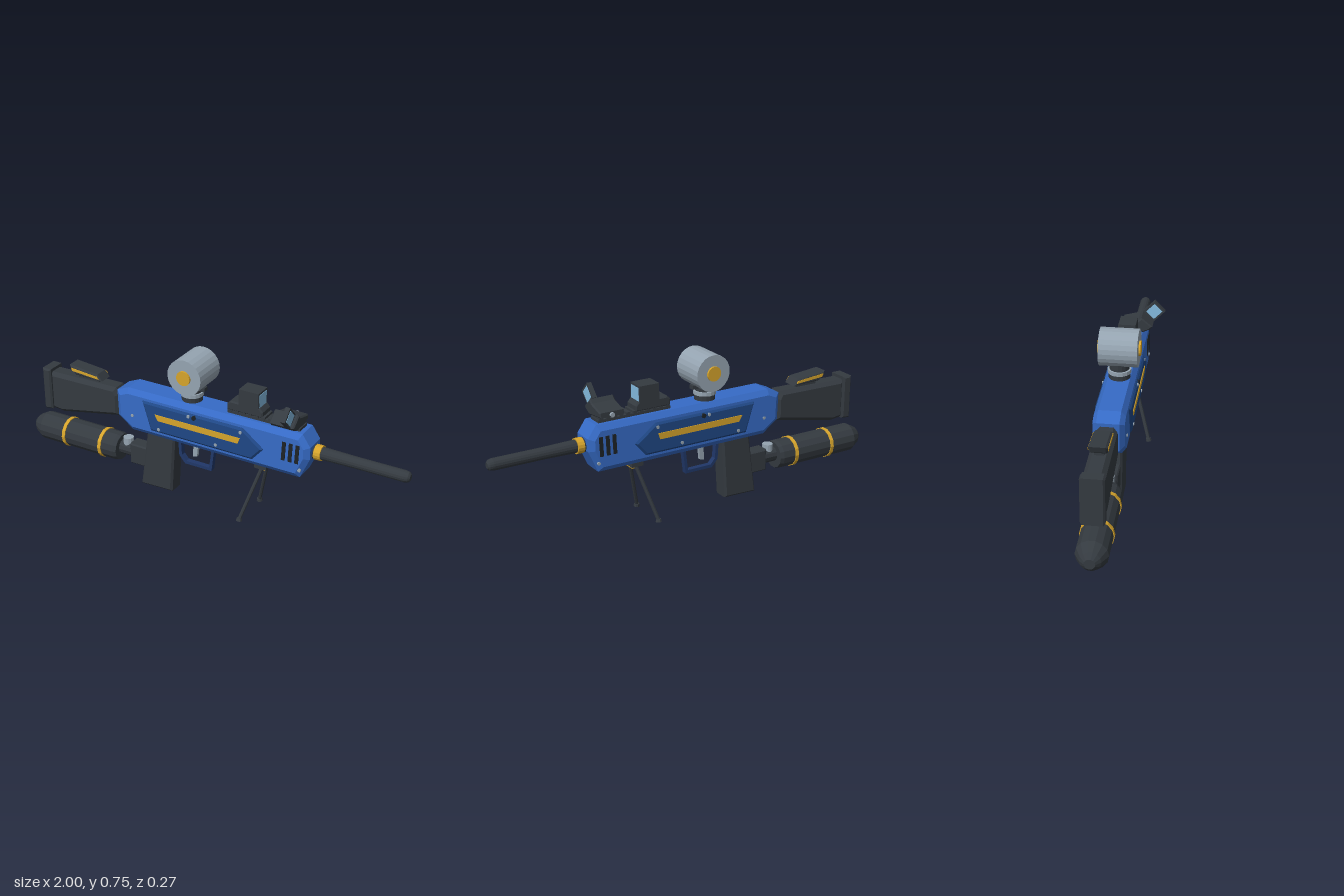
import * as THREE from 'three';

const mat = (name, color, flat = true) => {
  const m = new THREE.MeshStandardMaterial({ color, flatShading: flat });
  m.name = name;
  return m;
};

export function createModel() {
  const blue = mat('body blue', 0x366bc6);
  const panelBlue = mat('panel blue', 0x1f4785);
  const navy = mat('navy', 0x203768);
  const dark = mat('dark grey', 0x343a40);
  const black = mat('black', 0x1d2226);
  const gold = mat('gold', 0xd6a42c);
  const steel = mat('steel', 0x95a4b1);
  const glass = mat('glass', 0x84bbe0);

  const root = new THREE.Group();
  root.name = 'toyBlaster';
  const gun = new THREE.Group();
  gun.name = 'blaster';
  gun.position.z = -0.02;
  root.add(gun);

  const add = (name, geo, m, x = 0, y = 0, z = 0, parent = gun) => {
    const mesh = new THREE.Mesh(geo, m);
    mesh.name = name;
    mesh.position.set(x, y, z);
    parent.add(mesh);
    return mesh;
  };
  const box = (name, m, w, h, d, x, y, z = 0, parent = gun) =>
    add(name, new THREE.BoxGeometry(w, h, d), m, x, y, z, parent);
  const shapeOf = (pts) => new THREE.Shape(pts.map(([x, y]) => new THREE.Vector2(x, y)));
  // Outline pulled to +-half, with a chamfer cut inside the outline
  const slab = (shape, half, size = 0, thick = size) => {
    const geo = new THREE.ExtrudeGeometry(shape, {
      depth: 2 * (half - thick), bevelEnabled: size > 0, bevelSegments: 1,
      bevelSize: size, bevelThickness: thick, bevelOffset: -size,
    });
    return geo.translate(0, 0, -(half - thick));
  };
  const plate = (name, m, pts, half, size, thick) => add(name, slab(shapeOf(pts), half, size, thick), m);
  // Turned part along x, profile given as [x, radius]
  const turned = (name, m, profile, y, sides) => {
    const geo = new THREE.LatheGeometry(profile.map(([x, r]) => new THREE.Vector2(r, x)), sides);
    geo.rotateZ(-Math.PI / 2);
    return add(name, geo, m, 0, y);
  };
  const drum = (name, m, r, len, axis, x, y, z = 0, sides = 16) => {
    const geo = new THREE.CylinderGeometry(r, r, len, sides);
    if (axis === 'x') geo.rotateZ(Math.PI / 2);
    if (axis === 'z') geo.rotateX(Math.PI / 2);
    return add(name, geo, m, x, y, z);
  };

  // Main body
  plate('body', blue, [[-0.46, 0.355], [-0.38, 0.298], [0.505, 0.298], [0.55, 0.4], [0.55, 0.46],
    [0.51, 0.518], [-0.4, 0.518], [-0.465, 0.49]], 0.07, 0.025, 0.02);

  // Side panels, stripes, vents and bolts on both sides
  const panel = [[-0.265, 0.335], [0.275, 0.335], [0.33, 0.4], [0.225, 0.48], [-0.31, 0.48]];
  const stripe = [[-0.22, 0.4], [0.205, 0.4], [0.215, 0.43], [-0.237, 0.43]];
  const bolts = [[-0.37, 0.385, 0.07], [-0.217, 0.355, 0.08], [0.09, 0.36, 0.08],
    [0.217, 0.46, 0.08], [-0.055, 0.467, 0.08], [0.51, 0.345, 0.07]];
  plate('sidePanels', panelBlue, panel, 0.08, 0.01, 0.008);
  plate('sideStripes', gold, stripe, 0.083);
  for (const s of [1, -1]) {
    for (const [x, y, z] of bolts) drum('bolt', steel, 0.008, 0.008, 'z', x, y, s * z, 8);
    drum('screw', black, 0.011, 0.012, 'z', -0.025, 0.467, s * 0.08, 8);
    for (const x of [0.43, 0.463, 0.496]) {
      const v = [[x - 0.011, 0.375], [x + 0.007, 0.375], [x + 0.011, 0.467], [x - 0.007, 0.467]];
      add('vent', slab(shapeOf(v), 0.003), black, 0, 0, s * 0.07);
    }
  }

  // Barrel
  turned('barrelSeat', dark, [[0.54, 0], [0.54, 0.034], [0.558, 0.034], [0.558, 0]], 0.42, 16);
  turned('barrelCollar', gold, [[0.556, 0], [0.556, 0.036], [0.588, 0.036], [0.588, 0]], 0.42, 16);
  turned('barrel', dark, [[0.58, 0], [0.58, 0.03], [0.75, 0.027], [0.975, 0.027], [0.992, 0.023],
    [1, 0.014], [1, 0]], 0.42, 16);

  // Stock, butt pad and cheek rest
  plate('stock', dark, [[-0.87, 0.282], [-0.805, 0.275], [-0.467, 0.342], [-0.467, 0.45],
    [-0.485, 0.486], [-0.87, 0.48]], 0.047, 0.018);
  plate('buttPad', dark, [[-0.91, 0.275], [-0.862, 0.28], [-0.862, 0.495], [-0.91, 0.495]], 0.052, 0.008);
  plate('cheekRest', dark, [[-0.72, 0.5], [-0.565, 0.498], [-0.59, 0.53], [-0.752, 0.545], [-0.74, 0.515]], 0.04, 0.008);
  plate('cheekStripes', gold, [[-0.733, 0.518], [-0.58, 0.508], [-0.59, 0.521], [-0.74, 0.534]], 0.042);
  box('cheekMount', dark, 0.12, 0.03, 0.04, -0.65, 0.49);

  // Air tank with bands, and its valve
  turned('tank', dark, [[-1, 0], [-1, 0.024], [-0.98, 0.046], [-0.935, 0.071], [-0.5, 0.071],
    [-0.48, 0.066], [-0.48, 0]], 0.15, 14);
  for (const x of [-0.79, -0.575]) drum('tankBand', gold, 0.075, 0.018, 'x', x, 0.15, 0, 14);
  drum('tankNeck', dark, 0.036, 0.08, 'x', -0.445, 0.155, 0, 12);
  drum('tankValve', steel, 0.026, 0.05, 'y', -0.445, 0.19, 0, 12);
  plate('tankBlock', dark, [[-0.415, 0.095], [-0.31, 0.095], [-0.31, 0.202], [-0.415, 0.202]], 0.036, 0.006);

  // Grip, trigger and guard
  plate('grip', dark, [[-0.35, 0], [-0.175, 0.005], [-0.155, 0.31], [-0.307, 0.31]], 0.043, 0.01);
  const guard = shapeOf([[-0.153, 0.3], [-0.147, 0.205], [-0.115, 0.168], [0.03, 0.168], [0.046, 0.3]]);
  guard.holes.push(new THREE.Path([[-0.137, 0.285], [-0.132, 0.21], [-0.108, 0.183], [0.017, 0.183], [0.03, 0.285]]
    .map(([x, y]) => new THREE.Vector2(x, y))));
  add('triggerGuard', slab(guard, 0.013), navy);
  plate('trigger', steel, [[-0.075, 0.215], [-0.052, 0.22], [-0.045, 0.29], [-0.07, 0.29]], 0.008);

  // Bipod
  box('bipodMount', dark, 0.06, 0.03, 0.08, 0.3, 0.288);
  box('bipodClamp', gold, 0.03, 0.014, 0.054, 0.308, 0.27);
  for (const s of [1, -1]) {
    const top = new THREE.Vector3(0.308, 0.29, s * 0.024);
    const foot = new THREE.Vector3(0.23, 0.014, s * 0.102);
    add('bipodLeg', new THREE.TubeGeometry(new THREE.LineCurve3(top, foot), 1, 0.009, 8), dark);
    const pad = add('bipodFoot', new THREE.CylinderGeometry(0.012, 0.015, 0.014, 8), dark, foot.x, foot.y, foot.z);
    pad.rotation.x = -s * 0.2;
  }

  // Drum hopper with its feed neck
  drum('hopper', steel, 0.087, 0.176, 'z', -0.072, 0.662, 0, 24);
  drum('hopperCaps', gold, 0.035, 0.194, 'z', -0.072, 0.662, 0, 18);
  drum('neckBase', dark, 0.05, 0.03, 'y', -0.08, 0.53);
  drum('neckRing', steel, 0.054, 0.018, 'y', -0.08, 0.552);
  drum('neckTop', dark, 0.045, 0.035, 'y', -0.08, 0.576);
  box('neckLatch', dark, 0.045, 0.018, 0.03, -0.03, 0.584);

  // Toothed rail
  box('rail', dark, 0.365, 0.018, 0.07, 0.307, 0.522);
  for (let i = 0; i < 11; i++) box('railTooth', dark, 0.018, 0.014, 0.076, 0.14 + i * 0.0335, 0.535);

  // Box sight
  plate('sightBase', dark, [[0.125, 0.535], [0.305, 0.535], [0.305, 0.562], [0.29, 0.58], [0.14, 0.58], [0.125, 0.565]], 0.04, 0.006);
  box('sightHood', dark, 0.1, 0.078, 0.082, 0.235, 0.612);
  box('sightGlass', glass, 0.004, 0.066, 0.066, 0.285, 0.609);

  // Canted side sight
  const mount = slab(shapeOf([[-0.055, 0.53], [0.05, 0.543], [0.05, 0.567], [-0.03, 0.588],
    [-0.047, 0.605], [-0.1, 0.56], [-0.087, 0.545]]), 0.06, 0.006);
  add('sideSightMount', mount.rotateY(Math.PI / 2), dark, 0.428);
  drum('sideSightKnob', steel, 0.011, 0.026, 'z', 0.43, 0.553, -0.048, 10);
  const side = new THREE.Group();
  side.name = 'sideSight';
  side.position.set(0.46, 0.608, 0.101);
  side.rotation.x = Math.PI / 4;
  gun.add(side);
  box('sideSightFrame', dark, 0.022, 0.078, 0.072, 0, 0, 0, side);
  box('sideSightGlass', glass, 0.025, 0.058, 0.054, 0, 0, 0, side);

  return root;
}
